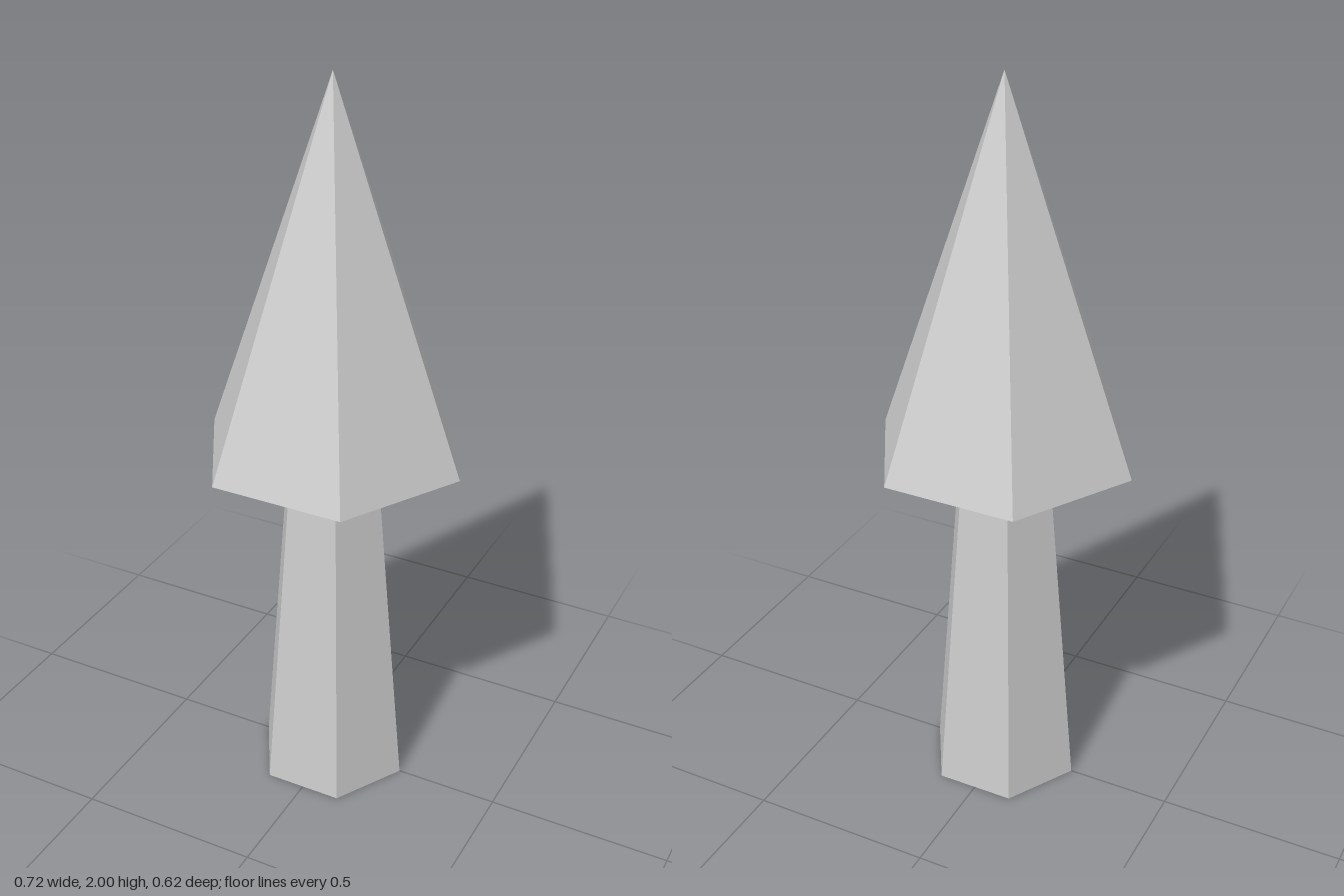
import * as THREE from 'three';

const SIDES = 6;
const TURN = Math.PI / 6; // puts a corner on +x and a flat side at the front

export function createModel() {
  const model = new THREE.Group();
  model.name = 'tree';
  const material = new THREE.MeshStandardMaterial({ color: 0xcccccc, flatShading: true });

  const addPart = (name, geometry, y) => {
    const mesh = new THREE.Mesh(geometry, material);
    mesh.name = name;
    mesh.position.y = y;
    model.add(mesh);
  };

  // Tapered six-sided trunk
  addPart('trunk', new THREE.CylinderGeometry(0.129, 0.214, 1, SIDES, 1, false, TURN), 0.5);

  // Pointed six-sided crown with a closed underside
  addPart('crown', new THREE.ConeGeometry(0.359, 1, SIDES, 1, false, TURN), 1.5);

  return model;
}
